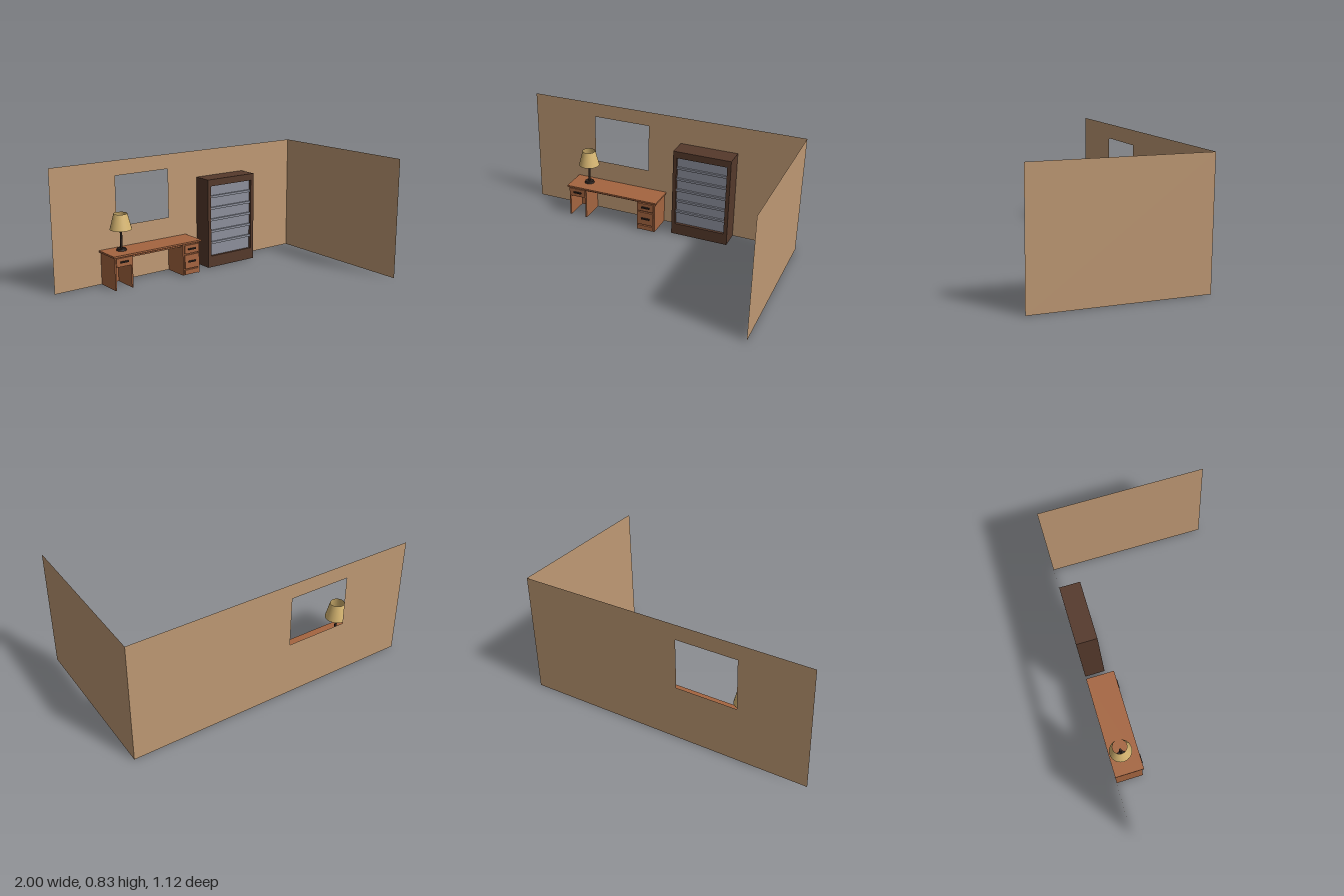
import * as THREE from 'three';

const paint = (name, color, side = THREE.FrontSide) => {
  const m = new THREE.MeshStandardMaterial({ color, side });
  m.name = name;
  return m;
};

export function createModel() {
  const wallTan = paint('wall tan', 0xbf9974, THREE.DoubleSide);
  const wood = paint('desk wood', 0xa56540);
  const darkWood = paint('dark wood', 0x55392b);
  const grey = paint('shelf grey', 0x8d909c);
  const shadeGold = paint('shade gold', 0xd8b772, THREE.DoubleSide);
  const black = paint('dark metal', 0x2b211d);

  const model = new THREE.Group();
  model.name = 'study';
  const group = (name) => {
    const g = new THREE.Group();
    g.name = name;
    model.add(g);
    return g;
  };
  const add = (parent, name, geometry, material, x = 0, y = 0, z = 0) => {
    const m = new THREE.Mesh(geometry, material);
    m.name = name;
    m.position.set(x, y, z);
    parent.add(m);
    return m;
  };
  // Box given by its limits on each axis
  const box = (parent, name, mat, x0, x1, y0, y1, z0, z1) =>
    add(parent, name, new THREE.BoxGeometry(x1 - x0, y1 - y0, z1 - z0), mat,
      (x0 + x1) / 2, (y0 + y1) / 2, (z0 + z1) / 2);

  // Walls: thin sheets, the back one with a window opening
  const H = 0.83, Z = -0.56;
  const rect = (S, x0, y0, x1, y1) => {
    const s = new S();
    s.moveTo(x0, y0);
    s.lineTo(x1, y0);
    s.lineTo(x1, y1);
    s.lineTo(x0, y1);
    s.closePath();
    return s;
  };
  const walls = group('walls');
  const backShape = rect(THREE.Shape, -1, 0, 1, H);
  backShape.holes.push(rect(THREE.Path, -0.524, 0.382, -0.107, 0.727));
  add(walls, 'backWall', new THREE.ShapeGeometry(backShape), wallTan, 0, 0, Z);
  add(walls, 'sideWall', new THREE.PlaneGeometry(1.12, H), wallTan, 1, H / 2, 0)
    .rotation.y = Math.PI / 2;

  // Desk
  const B = Z + 0.002, F = -0.375;
  const desk = group('desk');
  box(desk, 'deskTop', wood, -0.665, 0.035, 0.226, 0.238, B, -0.364);
  box(desk, 'keyboardTray', wood, -0.517, -0.113, 0.203, 0.212, B + 0.01, -0.4);

  const drawer = (x0, x1, y0, y1, handleY) => {
    box(desk, 'drawerFront', wood, x0, x1, y0, y1, F - 0.01, F + 0.006);
    if (!handleY) return;
    const c = (x0 + x1) / 2;
    box(desk, 'drawerHandle', black, c - 0.03, c + 0.03, handleY - 0.005, handleY + 0.005, F + 0.006, F + 0.016);
  };
  const sidePanels = (x0, x1) => {
    for (const x of [x0, x1 - 0.01]) box(desk, 'pedestalSide', wood, x, x + 0.01, 0, 0.226, B, F);
  };

  // Open pedestal with one drawer
  sidePanels(-0.653, -0.517);
  box(desk, 'pedestalBack', wood, -0.643, -0.527, 0, 0.226, B, B + 0.008);
  box(desk, 'drawerBox', wood, -0.643, -0.527, 0.162, 0.218, B + 0.008, F - 0.01);
  drawer(-0.643, -0.527, 0.16, 0.219, 0.192);

  // Closed pedestal with three drawers
  sidePanels(-0.113, 0.023);
  box(desk, 'pedestalBody', wood, -0.103, 0.013, 0, 0.226, B, F - 0.008);
  drawer(-0.101, 0.011, 0.155, 0.215, 0.186);
  drawer(-0.101, 0.011, 0.047, 0.145, 0.097);
  drawer(-0.101, 0.011, 0.005, 0.038);

  // Bookcase: dark frame, grey lining and shelves
  const bookcase = group('bookcase');
  const L = 0.135, R = 0.547, front = -0.418;
  box(bookcase, 'bookcaseBase', darkWood, L, R, 0, 0.082, B, front);
  box(bookcase, 'bookcaseTop', darkWood, L, R, 0.592, 0.64, B, front);
  for (const x of [L, R - 0.026]) box(bookcase, 'bookcaseSide', darkWood, x, x + 0.026, 0.082, 0.592, B, front);
  box(bookcase, 'bookcasePanel', grey, L + 0.026, R - 0.026, 0.082, 0.592, B + 0.01, front - 0.02);
  for (let i = 1; i <= 5; i++) {
    const y = 0.093 + i * 0.084;
    box(bookcase, 'shelf', grey, L + 0.026, R - 0.026, y - 0.008, y + 0.008, front - 0.03, front - 0.006);
  }

  // Table lamp
  const lamp = group('lamp');
  lamp.position.set(-0.54, 0.238, -0.478);
  add(lamp, 'lampBase', new THREE.CylinderGeometry(0.031, 0.035, 0.014, 24), black, 0, 0.007, 0);
  add(lamp, 'lampStem', new THREE.CylinderGeometry(0.008, 0.008, 0.16, 12), black, 0, 0.09, 0);
  add(lamp, 'lampShade', new THREE.CylinderGeometry(0.046, 0.074, 0.108, 24, 1, true), shadeGold, 0, 0.198, 0);

  return model;
}
